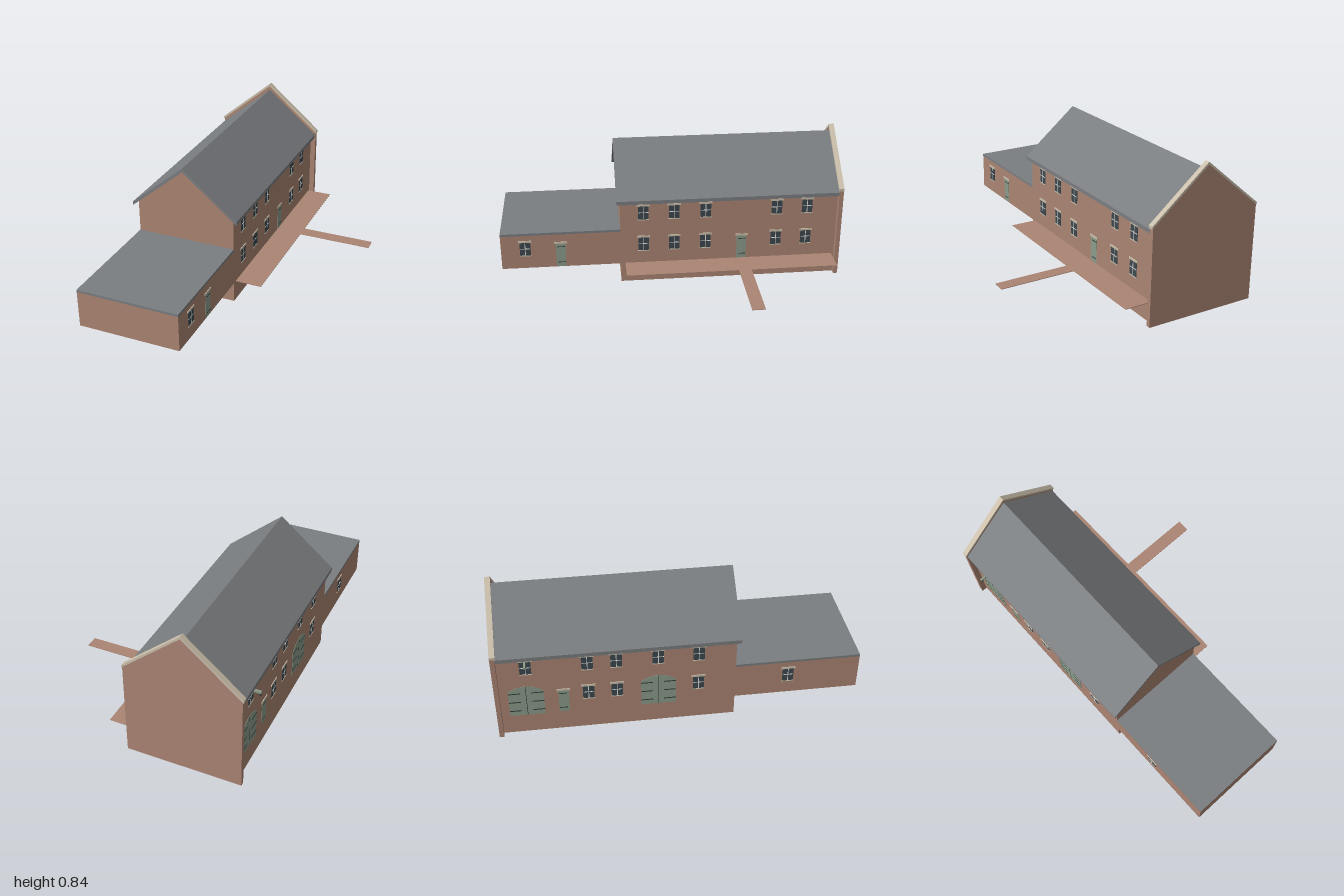
import * as THREE from 'three';

const mat = (name, color) => {
  const m = new THREE.MeshStandardMaterial({ color });
  m.name = name;
  return m;
};
const brick = mat('brick', 0xab8573);
const slate = mat('slate', 0x7b7e81);
const stone = mat('stone', 0xcbbfab);
const green = mat('door green', 0x8a9c8a);
const glass = mat('dark glass', 0x3c484e);
const white = mat('glazing bar white', 0xe4e4e0);
const iron = mat('iron', 0x353d3a);

const RIDGE_X = -0.27, HALF = 0.295, T = 0.012; // ridge line, half width, wall thickness
const LEFT = RIDGE_X + HALF, RIGHT = RIDGE_X - HALF;

export function createModel() {
  const root = new THREE.Group();
  root.name = 'warehouse';

  const add = (parent, name, geometry, material) => {
    const m = new THREE.Mesh(geometry, material);
    m.name = name;
    parent.add(m);
    return m;
  };
  // Box given by its minimum and maximum corners
  const box = (parent, name, material, x0, x1, y0, y1, z0, z1) => {
    const m = add(parent, name, new THREE.BoxGeometry(x1 - x0, y1 - y0, z1 - z0), material);
    m.position.set((x0 + x1) / 2, (y0 + y1) / 2, (z0 + z1) / 2);
    return m;
  };
  // Outline in x/y extruded from z0 to z1
  const prism = (name, material, points, z0, z1) => {
    const shape = new THREE.Shape(points.map(([x, y]) => new THREE.Vector2(RIDGE_X + x, y)));
    const g = new THREE.ExtrudeGeometry(shape, { depth: z1 - z0, bevelEnabled: false });
    add(root, name, g, material).position.z = z0;
  };
  const gable = (half, eave, ridge) => [[-half, 0], [half, 0], [half, eave], [0, ridge], [-half, eave]];
  const chevron = (half, eave, ridge, thick) => [
    [-half, eave - thick], [0, ridge - thick], [half, eave - thick],
    [half, eave], [0, ridge], [-half, eave],
  ];

  // Main hall, hollow and open underneath
  prism('frontGable', brick, gable(HALF, 0.535, 0.779), 0.305 - T, 0.305);
  prism('endWall', brick, gable(0.327, 0.55, 0.826), -1, -0.975);
  box(root, 'leftWall', brick, LEFT - T, LEFT, 0, 0.533, -0.976, 0.304);
  box(root, 'rightWall', brick, RIGHT, RIGHT + T, 0, 0.533, -0.976, 0.304);
  prism('mainRoof', slate, chevron(0.322, 0.533, 0.80, 0.022), -0.975, 0.325);
  prism('coping', stone, chevron(0.332, 0.56, 0.84, 0.015), -1, -0.97);

  // Raised front wing with a flat roof
  box(root, 'wingLeftWall', brick, LEFT - T, LEFT, 0.12, 0.331, 0.305, 1);
  box(root, 'wingRightWall', brick, RIGHT, RIGHT + T, 0.12, 0.331, 0.305, 1);
  box(root, 'wingFrontWall', brick, RIGHT + T, LEFT - T, 0.12, 0.331, 1 - T, 1);
  box(root, 'wingRoof', slate, RIGHT - 0.001, LEFT + 0.001, 0.33, 0.344, 0.305, 1);

  // Loading platform and gangway
  box(root, 'platform', brick, LEFT, 0.18, 0.119, 0.122, -0.96, 0.28);
  box(root, 'gangway', brick, 0.18, 0.62, 0.119, 0.122, -0.45, -0.375);

  // Fittings pass through the wall and show on both faces
  const fitting = (name, side, y, z) => {
    const g = new THREE.Group();
    g.name = name;
    g.position.set(side > 0 ? LEFT - T / 2 : RIGHT + T / 2, y, z);
    root.add(g);
    const part = (partName, material, proud, y0, y1, z0, z1) =>
      box(g, partName, material, -T / 2 - proud, T / 2 + proud, y0, y1, z0, z1);
    return { g, part };
  };

  const addWindow = (side, y, z) => {
    const { part } = fitting('window', side, y, z);
    part('pane', glass, 0.002, 0, 0.083, -0.031, 0.031);
    part('uprightBar', white, 0.003, 0.002, 0.081, -0.002, 0.002);
    part('crossBar', white, 0.003, 0.041, 0.045, -0.029, 0.029);
    part('lintel', stone, 0.004, 0.083, 0.095, -0.038, 0.038);
    part('sill', stone, 0.004, -0.005, 0, -0.033, 0.033);
  };

  const addDoor = (side, z) => {
    const { part } = fitting('door', side, 0.123, z);
    part('doorLeaf', green, 0.002, 0, 0.147, -0.028, 0.028);
    part('lintel', stone, 0.004, 0.147, 0.159, -0.037, 0.037);
    for (const y of [0.025, 0.125]) part('hinge', iron, 0.003, y, y + 0.005, -0.026, 0.018);
  };

  // Double doors with a shallow arched head
  const addArchedDoors = (side, z) => {
    const { g, part } = fitting('archedDoors', side, 0.12, z);
    const w = 0.095, spring = 0.165, rise = 0.035;
    const shape = new THREE.Shape();
    shape.moveTo(-w, 0);
    shape.lineTo(w, 0);
    shape.lineTo(w, spring);
    shape.quadraticCurveTo(0, spring + 2 * rise, -w, spring);
    const depth = T + 0.004;
    const geo = new THREE.ExtrudeGeometry(shape, { depth, bevelEnabled: false, curveSegments: 12 });
    geo.translate(0, 0, -depth / 2).rotateY(Math.PI / 2);
    add(g, 'doorLeaves', geo, green);
    part('meetingGap', iron, 0.0025, 0, spring + rise - 0.002, -0.0015, 0.0015);
    for (const y of [0.03, 0.09, 0.15]) {
      for (const s of [-1, 1]) {
        const a = s * w, b = s * 0.03;
        part('strapHinge', iron, 0.003, y, y + 0.006, Math.min(a, b), Math.max(a, b));
      }
    }
  };

  const LOW = 0.203, HIGH = 0.404;
  // Left side
  for (const z of [0.17, -0.01, -0.195, -0.615, -0.795]) {
    addWindow(1, LOW, z);
    addWindow(1, HIGH, z);
  }
  addWindow(1, LOW, 0.86);
  addDoor(1, 0.655);
  addDoor(1, -0.41);

  // Right side
  for (const z of [0.1, -0.12, -0.345, -0.5, -0.825]) addWindow(-1, HIGH, z);
  for (const z of [0.1, -0.345, -0.5, 0.6]) addWindow(-1, LOW, z);
  addDoor(-1, -0.635);
  addArchedDoors(-1, -0.12);
  addArchedDoors(-1, -0.835);

  // Hoist beam with its hook
  const hoist = new THREE.Group();
  hoist.name = 'hoist';
  root.add(hoist);
  box(hoist, 'beam', green, -0.623, RIGHT, 0.483, 0.496, -0.831, -0.819);
  box(hoist, 'hook', iron, -0.62, -0.614, 0.467, 0.483, -0.828, -0.822);

  return root;
}
